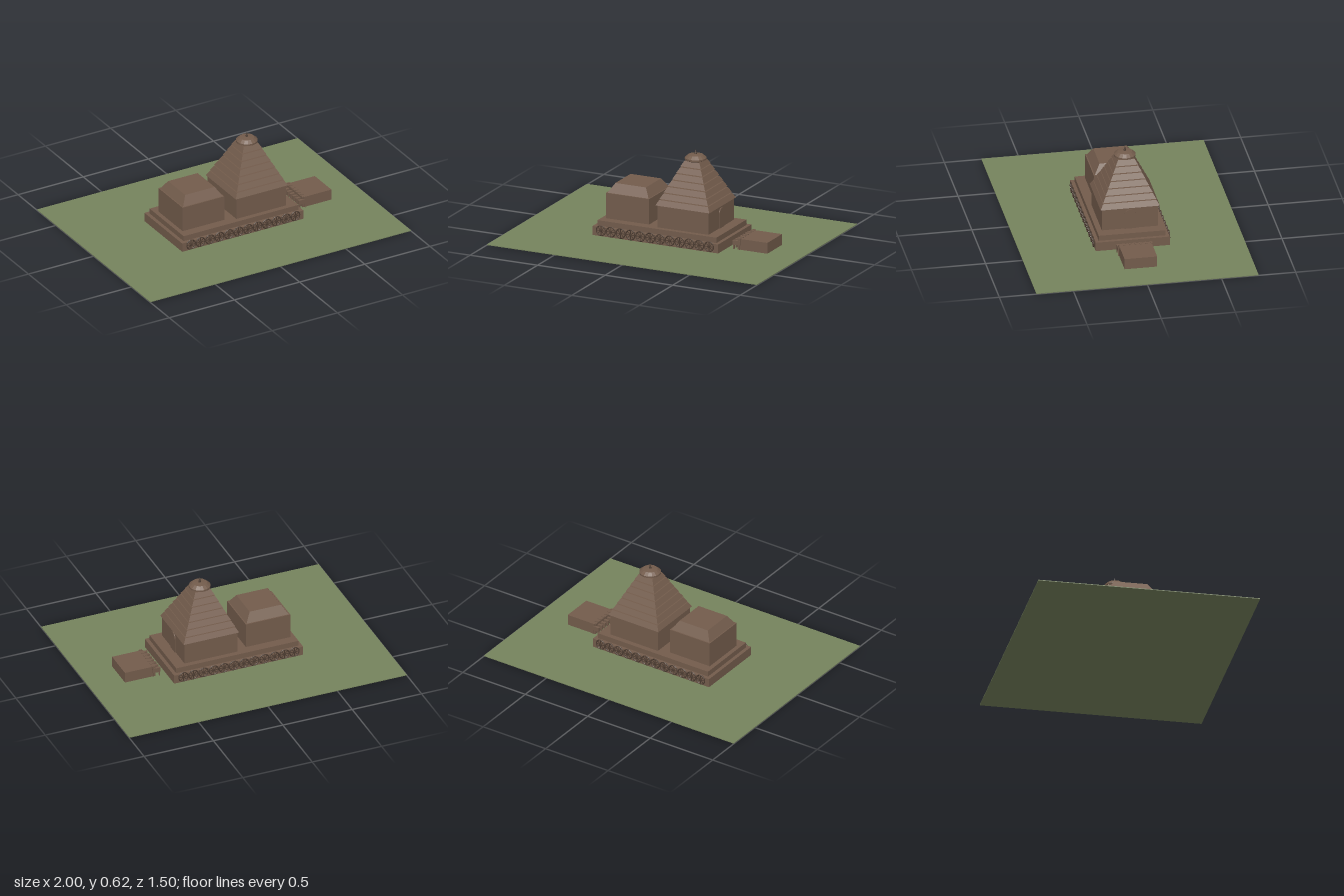
import * as THREE from 'three';

export function createModel() {
  const model = new THREE.Group();
  model.name = 'chariotTemple';

  const material = (name, color, flatShading = true) => {
    const m = new THREE.MeshStandardMaterial({ color, flatShading });
    m.name = name;
    return m;
  };
  const grass = material('grass', 0x76835d);
  const stone = material('stone', 0x735c4c);
  const darkStone = material('darkStone', 0x4d3d32);

  const add = (parent, name, geometry, mat, x = 0, y = 0, z = 0) => {
    const mesh = new THREE.Mesh(geometry, mat);
    mesh.name = name;
    mesh.position.set(x, y, z);
    parent.add(mesh);
    return mesh;
  };
  // Box given by its centre in x and z and by its bottom and top
  const block = (parent, name, mat, x, z, w, d, y0, y1) =>
    add(parent, name, new THREE.BoxGeometry(w, y1 - y0, d), mat, x, (y0 + y1) / 2, z);
  // Square tapered block with half widths at bottom and top
  const frustum = (parent, name, mat, x, h0, h1, y0, y1) => {
    const g = new THREE.CylinderGeometry(h1 * Math.SQRT2, h0 * Math.SQRT2, y1 - y0, 4);
    g.rotateY(Math.PI / 4);
    return add(parent, name, g, mat, x, (y0 + y1) / 2, 0);
  };

  // Ground and two-step platform
  block(model, 'ground', grass, 0, 0, 2, 1.5, 0, 0.005);
  block(model, 'lowerPlatform', stone, 0, 0, 0.93, 0.5, 0.005, 0.067);
  block(model, 'upperPlatform', stone, 0, 0, 0.88, 0.45, 0.067, 0.104);

  // Rear sanctuary with a truncated roof
  block(model, 'sanctuaryWalls', stone, -0.25, 0, 0.32, 0.32, 0.104, 0.28);
  frustum(model, 'sanctuaryRoof', stone, -0.25, 0.152, 0.113, 0.28, 0.342);

  // Main hall with seven separated roof tiers
  const hallX = 0.175;
  block(model, 'hallWalls', stone, hallX, 0, 0.38, 0.38, 0.104, 0.256);
  const tiers = new THREE.Group();
  tiers.name = 'hallRoof';
  model.add(tiers);
  for (let i = 0; i < 7; i++) {
    const y = 0.257 + i * 0.0425;
    const half = 0.2 - i * 0.0207;
    frustum(tiers, 'roofTier', stone, hallX, half, half - 0.02, y, y + 0.035);
  }

  // Round crown and finial
  const crownProfile = [[0, 0.544], [0.06, 0.545], [0.073, 0.552], [0.073, 0.564], [0.05, 0.583], [0, 0.588]];
  add(model, 'crown', new THREE.LatheGeometry(crownProfile.map(p => new THREE.Vector2(...p)), 16), stone, hallX);
  const finialProfile = [[0, 0.584], [0.009, 0.586], [0.007, 0.597], [0, 0.622]];
  add(model, 'finial', new THREE.LatheGeometry(finialProfile.map(p => new THREE.Vector2(...p)), 8), darkStone, hallX);

  // Arched doorway on the +x wall
  const arch = new THREE.Shape();
  arch.moveTo(-0.038, 0);
  arch.lineTo(0.038, 0);
  arch.lineTo(0.038, 0.1);
  arch.absarc(0, 0.1, 0.038, 0, Math.PI, false);
  arch.closePath();
  const doorGeometry = new THREE.ExtrudeGeometry(arch, { depth: 0.006, bevelEnabled: false, curveSegments: 10 });
  doorGeometry.rotateY(Math.PI / 2);
  add(model, 'doorway', doorGeometry, stone, hallX + 0.19, 0.104, 0);

  // Twelve spoked wheels along each side
  const rim = new THREE.TorusGeometry(0.033, 0.004, 6, 20);
  const hub = new THREE.CylinderGeometry(0.008, 0.008, 0.016, 10);
  hub.rotateX(Math.PI / 2);
  const spoke = new THREE.BoxGeometry(0.064, 0.004, 0.004);
  for (const side of [-1, 1]) {
    for (let i = 0; i < 12; i++) {
      const wheel = new THREE.Group();
      wheel.name = 'wheel';
      wheel.position.set(-0.4 + i * 0.8 / 11, 0.045, side * 0.255);
      add(wheel, 'rim', rim, darkStone);
      add(wheel, 'hub', hub, darkStone);
      for (let s = 0; s < 4; s++) {
        add(wheel, 'spokePair', spoke, darkStone).rotation.z = s * Math.PI / 4;
      }
      model.add(wheel);
    }
  }

  // Low pavilion ahead of the hall
  block(model, 'pavilion', stone, 0.65, 0, 0.22, 0.22, 0.005, 0.08);

  // Row of seven horses
  for (let i = 0; i < 7; i++) {
    const z = (i - 3) * 0.0365;
    const horse = new THREE.Group();
    horse.name = 'horse';
    block(horse, 'body', stone, 0.535, z, 0.056, 0.017, 0.036, 0.066);
    block(horse, 'head', stone, 0.555, z, 0.022, 0.012, 0.06, 0.084);
    for (const x of [0.514, 0.556]) {
      for (const dz of [-0.005, 0.005]) block(horse, 'leg', stone, x, z + dz, 0.006, 0.005, 0.005, 0.036);
    }
    model.add(horse);
  }

  return model;
}
